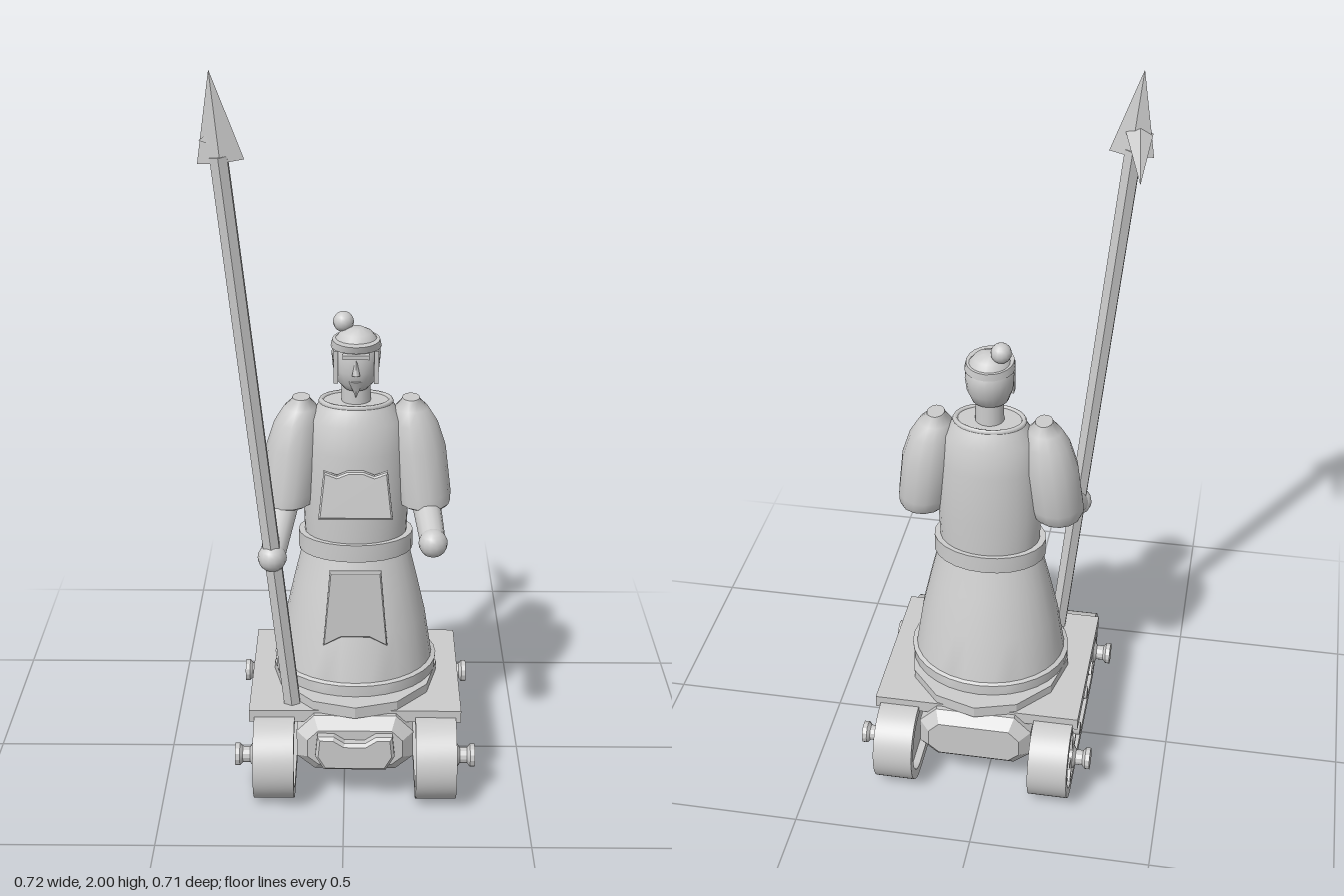
import * as THREE from 'three';
import { toCreasedNormals, mergeVertices } from 'three/addons/utils/BufferGeometryUtils.js';

const grey = new THREE.MeshStandardMaterial({ color: 0xcccccc });
grey.name = 'plain grey';

const V = (x, y, z) => new THREE.Vector3(x, y, z);

function add(parent, name, geometry, x = 0, y = 0, z = 0) {
  const mesh = new THREE.Mesh(geometry, grey);
  mesh.name = name;
  mesh.position.set(x, y, z);
  parent.add(mesh);
  return mesh;
}

// Closed body from elliptical rings [y, rx, rz, cx, cz], listed bottom to top
function loft(rings, n = 24, crease = 0.6) {
  const pos = [], idx = [];
  for (const [y, rx, rz, cx = 0, cz = 0] of rings)
    for (let j = 0; j < n; j++) {
      const a = (j / n) * Math.PI * 2;
      pos.push(cx + rx * Math.cos(a), y, cz + rz * Math.sin(a));
    }
  const last = (rings.length - 1) * n, bottom = rings.length * n;
  for (const r of [rings[0], rings[rings.length - 1]]) pos.push(r[3] || 0, r[0], r[4] || 0);
  for (let j = 0; j < n; j++) {
    const k = (j + 1) % n;
    for (let i = 0; i < last; i += n) idx.push(i + j, i + n + j, i + k, i + k, i + n + j, i + n + k);
    idx.push(bottom, j, k, bottom + 1, last + k, last + j);
  }
  const g = new THREE.BufferGeometry();
  g.setAttribute('position', new THREE.Float32BufferAttribute(pos, 3));
  g.setIndex(idx);
  return toCreasedNormals(g, crease);
}

// Bevelled plate facing +z
function plate(points, depth, bevel = 0.005) {
  const shape = new THREE.Shape(points.map(([x, y]) => new THREE.Vector2(x, y)));
  return new THREE.ExtrudeGeometry(shape, {
    depth, bevelEnabled: bevel > 0, bevelSize: bevel, bevelThickness: bevel, bevelSegments: 1,
  });
}

// Round bar between two points
function rod(parent, name, a, b, rA, rB, sides) {
  const m = add(parent, name, new THREE.CylinderGeometry(rB, rA, a.distanceTo(b), sides));
  m.position.copy(a).lerp(b, 0.5);
  m.quaternion.setFromUnitVectors(V(0, 1, 0), b.clone().sub(a).normalize());
  return m;
}

function stadium(half, r, Type = THREE.Shape) {
  const s = new Type();
  s.absarc(half, 0, r, -Math.PI / 2, Math.PI / 2, false);
  s.absarc(-half, 0, r, Math.PI / 2, Math.PI * 1.5, false);
  s.closePath();
  return s;
}

function sideExtrude(shape, width) {
  const g = new THREE.ExtrudeGeometry(shape, { depth: width, bevelEnabled: false, curveSegments: 14 });
  return toCreasedNormals(g.translate(0, 0, -width / 2).rotateY(Math.PI / 2), 0.5);
}

// One track unit, outside facing +x
function trackUnit() {
  const unit = new THREE.Group();
  const band = stadium(0.236, 0.118);
  band.holes.push(stadium(0.236, 0.09, THREE.Path));
  add(unit, 'trackBand', sideExtrude(band, 0.111));
  add(unit, 'trackCore', sideExtrude(stadium(0.236, 0.091), 0.07));
  for (const z of [-0.236, 0.236]) {
    const wheel = new THREE.Group();
    wheel.name = 'wheel';
    wheel.position.z = z;
    unit.add(wheel);
    const rim = new THREE.TorusGeometry(0.068, 0.01, 6, 24).rotateY(Math.PI / 2);
    add(wheel, 'wheelRim', rim, 0.042);
    for (let i = 0; i < 5; i++) {
      const a = (i / 5) * Math.PI * 2;
      const spoke = add(wheel, 'spoke', new THREE.BoxGeometry(0.024, 0.06, 0.018),
        0.046, 0.04 * Math.cos(a), 0.04 * Math.sin(a));
      spoke.rotation.x = a;
    }
    const hub = [[0, 0.03], [0.034, 0.03], [0.034, 0.06], [0.022, 0.068], [0.022, 0.088],
      [0.031, 0.096], [0.031, 0.109], [0, 0.109]].map(([r, h]) => new THREE.Vector2(r, h));
    add(wheel, 'hub', toCreasedNormals(new THREE.LatheGeometry(hub, 12).rotateZ(-Math.PI / 2), 0.5));
  }
  for (const z of [-0.08, 0.08])
    add(unit, 'roller', new THREE.CylinderGeometry(0.018, 0.024, 0.03, 6).rotateZ(-Math.PI / 2), 0.045, -0.032, z);
  return unit;
}

function buildCarriage(g) {
  for (const s of [-1, 1]) {
    const unit = trackUnit();
    unit.name = s > 0 ? 'leftTrack' : 'rightTrack';
    unit.position.set(s * 0.2215, 0.119, 0);
    if (s < 0) unit.rotation.y = Math.PI;
    g.add(unit);
  }
  const octagon = [[-0.1, 0.115], [0.1, 0.115], [0.13, 0.14], [0.13, 0.19],
    [0.1, 0.22], [-0.1, 0.22], [-0.13, 0.19], [-0.13, 0.14]];
  add(g, 'chassis', plate(octagon, 0.5, 0.03), 0, 0, -0.25);
  add(g, 'deck', new THREE.BoxGeometry(0.582, 0.035, 0.472), 0, 0.24, 0);
  const nose = [[-0.08, 0.12], [0.08, 0.12], [0.1, 0.155], [0.095, 0.205], [0.06, 0.205],
    [0.03, 0.185], [-0.03, 0.185], [-0.06, 0.205], [-0.095, 0.205], [-0.1, 0.155]];
  add(g, 'nosePanel', plate(nose, 0.03, 0.008), 0, 0, 0.27);
  add(g, 'turntable', loft([[0.25, 0.23, 0.265], [0.283, 0.23, 0.265]], 12, 0.2));
}

function buildBody(g) {
  add(g, 'robe', loft([[0.28, 0.225, 0.205], [0.315, 0.228, 0.205], [0.32, 0.215, 0.196],
    [0.45, 0.195, 0.165], [0.56, 0.17, 0.13], [0.66, 0.146, 0.1]], 32));
  add(g, 'belt', loft([[0.65, 0.158, 0.118], [0.7, 0.158, 0.118]], 24));
  add(g, 'torso', loft([[0.69, 0.14, 0.106], [0.8, 0.145, 0.108], [0.95, 0.14, 0.104],
    [1.03, 0.128, 0.092], [1.065, 0.105, 0.077], [1.08, 0.098, 0.07]], 28));
  add(g, 'collar', new THREE.TorusGeometry(0.094, 0.008, 6, 28).rotateX(Math.PI / 2).scale(1, 1, 0.72), 0, 1.078, 0);
  const chest = [[-0.095, 0.005], [0.095, 0.005], [0.082, 0.125], [0.05, 0.113],
    [0.02, 0.125], [-0.02, 0.125], [-0.05, 0.113], [-0.082, 0.125]];
  add(g, 'chestPlate', plate(chest, 0.02), 0, 0.788, 0.127).rotation.x = -0.17;
  const apron = [[-0.085, 0.425], [-0.04, 0.45], [0.04, 0.45], [0.085, 0.425], [0.066, 0.64], [-0.066, 0.64]];
  add(g, 'apron', plate(apron, 0.012, 0.004), 0, 0, 0.152);
}

function buildHead(g) {
  const head = new THREE.Group();
  head.name = 'head';
  g.add(head);
  add(head, 'neck', new THREE.CylinderGeometry(0.039, 0.04, 0.1, 16), 0, 1.1, 0);
  add(head, 'skull', loft([[1.122, 0.03, 0.03, 0, 0.02], [1.14, 0.05, 0.052, 0, 0.01],
    [1.175, 0.062, 0.067, 0, 0.005], [1.215, 0.066, 0.071], [1.25, 0.06, 0.064],
    [1.272, 0.042, 0.045], [1.284, 0.018, 0.02]], 20, 1));
  add(head, 'headband', loft([[1.236, 0.068, 0.075, 0, 0.006], [1.256, 0.064, 0.078, 0, 0.01]], 20));
  add(head, 'bun', new THREE.SphereGeometry(0.028, 14, 10), -0.034, 1.295, -0.016);
  add(head, 'brow', new THREE.BoxGeometry(0.07, 0.012, 0.02), 0, 1.225, 0.069);
  const nose = add(head, 'nose', new THREE.ConeGeometry(0.011, 0.05, 4), 0, 1.198, 0.072);
  nose.rotation.x = -0.15;
  for (const s of [-1, 1])
    add(head, 'sideburn', new THREE.BoxGeometry(0.012, 0.09, 0.022), s * 0.054, 1.19, 0.045);
  add(head, 'beard', new THREE.ConeGeometry(0.022, 0.05, 6).rotateX(Math.PI), 0, 1.128, 0.052);
}

function buildArms(g) {
  const hands = { 1: V(0.207, 0.74, 0.182), '-1': V(-0.222, 0.703, 0.197) };
  for (const s of [-1, 1]) {
    const arm = new THREE.Group();
    arm.name = s > 0 ? 'leftArm' : 'rightArm';
    g.add(arm);
    const rings = [[0.785, 0.064, 0.07, 0.19, 0.01], [0.795, 0.072, 0.082, 0.187, 0.015],
      [0.825, 0.075, 0.085, 0.184, 0.01], [0.95, 0.076, 0.078, 0.168], [1.02, 0.063, 0.064, 0.158],
      [1.06, 0.046, 0.048, 0.15], [1.08, 0.026, 0.035, 0.148], [1.088, 0.024, 0.033, 0.148]];
    add(arm, 'sleeve', loft(rings.map(([y, rx, rz, cx, cz]) => [y, rx, rz, s * cx, cz]), 14, 0.7));
    rod(arm, 'forearm', V(s * 0.19, 0.8, 0.005), hands[s], 0.04, 0.034, 14);
    add(arm, 'hand', new THREE.SphereGeometry(0.039, 14, 10)).position.copy(hands[s]);
  }
}

function buildSpear(g) {
  const spear = new THREE.Group();
  spear.name = 'spear';
  g.add(spear);
  const low = V(-0.172, 0.24, 0.185), high = V(-0.335, 1.79, 0.217);
  const shaft = rod(spear, 'shaft', low, high, 0.025, 0.025, 6);
  shaft.geometry = toCreasedNormals(shaft.geometry, 0.3);

  // Flat four-sided point
  const tip = new THREE.ConeGeometry(0.058, 0.225, 4).scale(1, 1, 0.32);
  const point = add(spear, 'spearPoint', toCreasedNormals(tip, 0.1), -0.342, 1.888, 0.219);
  point.quaternion.copy(shaft.quaternion);

  // Thin spike reaching backward
  const spike = rod(spear, 'backSpike', V(-0.347, 1.835, 0.222), V(-0.375, 1.79, 0), 0.036, 0, 4);
  spike.geometry = toCreasedNormals(mergeVertices(spike.geometry.scale(1, 1, 0.5)), 0.1);
}

export function createModel() {
  const model = new THREE.Group();
  model.name = 'trackedSpearGuard';
  const figure = new THREE.Group();
  figure.name = 'figure';
  figure.position.x = 0.03;
  model.add(figure);
  buildCarriage(figure);
  buildBody(figure);
  buildHead(figure);
  buildArms(figure);
  buildSpear(figure);
  return model;
}
